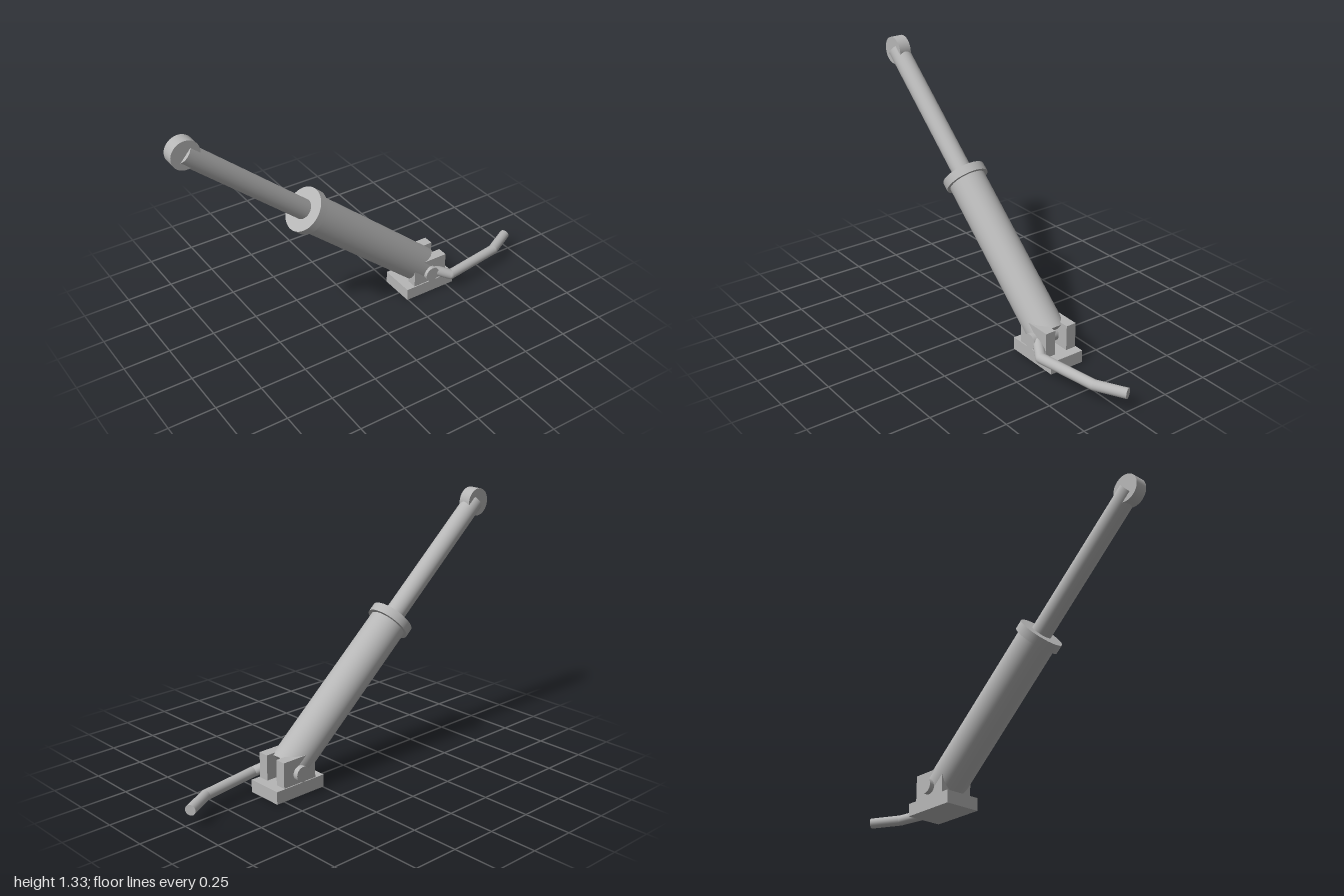
import * as THREE from 'three';

export function createModel() {
  const model = new THREE.Group();
  const steel = new THREE.MeshStandardMaterial({ color: 0xb6b6b6 });
  steel.name = 'grey steel';

  const midZ = -0.022;
  const pinCentre = new THREE.Vector3(0.395, 0.12, midZ);
  const eyeCentre = new THREE.Vector3(-0.927, 1.26, midZ);
  const axis = eyeCentre.clone().sub(pinCentre);
  const stroke = axis.length();
  axis.normalize();

  function add(name, geometry, position) {
    const mesh = new THREE.Mesh(geometry, steel);
    mesh.name = name;
    mesh.position.copy(position);
    model.add(mesh);
    return mesh;
  }

  // Round bar between two points
  function bar(name, from, to, radius, sides = 48) {
    const along = to.clone().sub(from);
    const mesh = add(name, new THREE.CylinderGeometry(radius, radius, along.length(), sides),
      from.clone().add(to).multiplyScalar(0.5));
    mesh.quaternion.setFromUnitVectors(new THREE.Vector3(0, 1, 0), along.normalize());
    return mesh;
  }
  const onAxis = (d) => pinCentre.clone().addScaledVector(axis, d);

  // Foot plate and the two lugs holding the pivot pin
  add('basePlate', new THREE.BoxGeometry(0.3, 0.066, 0.195), new THREE.Vector3(0.395, 0.033, midZ));
  for (const side of [1, -1]) {
    add(side > 0 ? 'frontLug' : 'backLug', new THREE.BoxGeometry(0.2, 0.14, 0.056),
      new THREE.Vector3(0.395, 0.13, midZ + side * 0.064));
  }
  bar('pivotPin', new THREE.Vector3(0.395, 0.12, 0.094), new THREE.Vector3(0.395, 0.12, -0.141), 0.04);

  // Barrel, collar and piston rod share one sloping axis
  bar('barrel', onAxis(0), onAxis(0.93), 0.098, 64);
  bar('collar', onAxis(0.904), onAxis(0.951), 0.116, 64);
  bar('pistonRod', onAxis(0.9), onAxis(stroke), 0.052);

  // Round eye at the rod end
  bar('rodEye', eyeCentre.clone().setZ(midZ + 0.033), eyeCentre.clone().setZ(midZ - 0.033), 0.073);

  // Bent handle made of straight lengths with rounded joints
  const bends = [
    [0.41, 0.127, 0.055], [0.505, 0.086, 0.109], [0.838, 0.086, 0.056], [0.985, 0.086, -0.024],
  ].map((p) => new THREE.Vector3(...p));
  for (let i = 0; i < bends.length - 1; i++) {
    bar('handleLength' + (i + 1), bends[i], bends[i + 1], 0.027, 24);
    if (i > 0) add('handleJoint' + i, new THREE.SphereGeometry(0.027, 24, 16), bends[i]);
  }
  return model;
}
